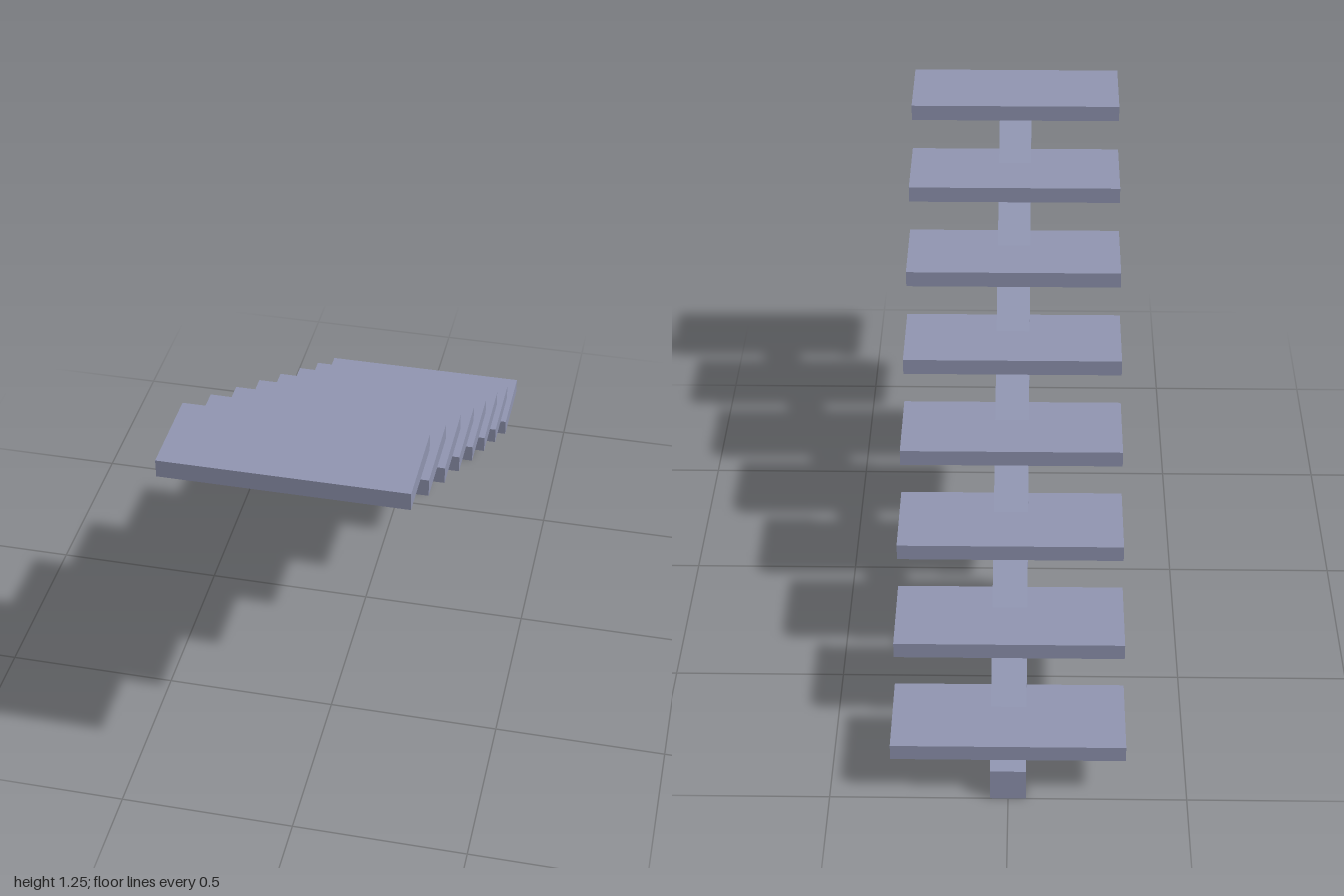
import * as THREE from 'three';

export function createModel() {
  const group = new THREE.Group();
  group.name = 'openStaircase';
  const slate = new THREE.MeshStandardMaterial({ color: 0x9297b3 });
  slate.name = 'slate blue';

  const count = 8, run = 0.25, rise = 0.15, thickness = 0.05;

  // Floating treads, climbing towards the front
  const treadGeometry = new THREE.BoxGeometry(0.65, thickness, run);
  for (let i = 0; i < count; i++) {
    const tread = new THREE.Mesh(treadGeometry, slate);
    tread.name = `tread${i + 1}`;
    tread.position.set(0, (i + 1) * rise + thickness / 2, -1 + (i + 0.5) * run);
    group.add(tread);
  }

  // Central stringer with its short foot, drawn as a (z, y) profile
  const slope = rise / run;
  const topLine = 0.705, bottomLine = 0.65, end = count * rise + 0.01;
  const profile = new THREE.Shape([
    [-1, 0],
    [-0.95, 0],
    [-0.95, bottomLine - 0.95 * slope],
    [(end - bottomLine) / slope, end],
    [(end - topLine) / slope, end],
    [-1, topLine - slope],
  ].map(([z, y]) => new THREE.Vector2(z, y)));
  const stringerGeometry = new THREE.ExtrudeGeometry(profile, { depth: 0.1, bevelEnabled: false });
  stringerGeometry.translate(0, 0, -0.05).rotateY(-Math.PI / 2);
  const stringer = new THREE.Mesh(stringerGeometry, slate);
  stringer.name = 'stringer';
  group.add(stringer);

  return group;
}
